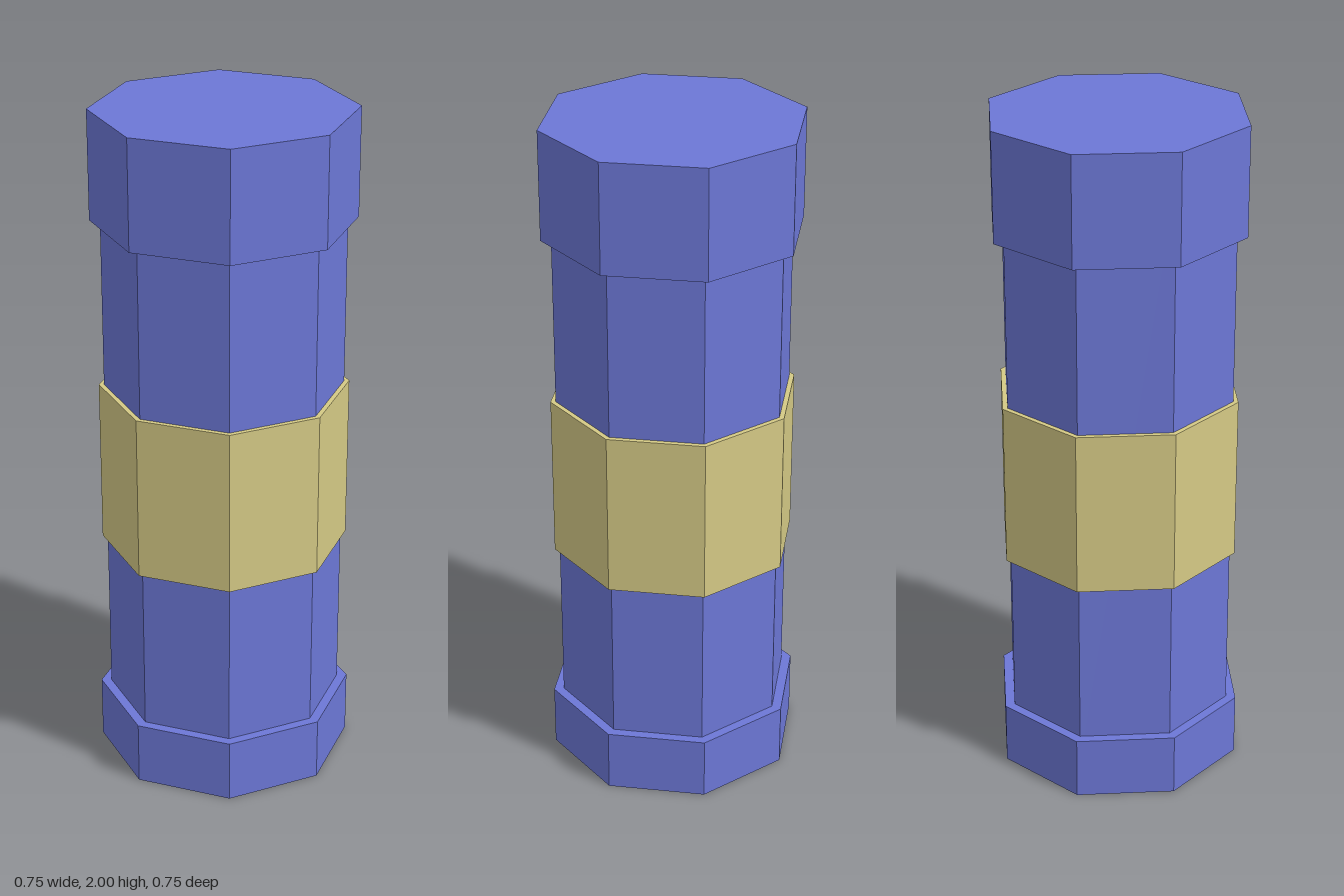
import * as THREE from 'three';

const SIDES = 8;

export function createModel() {
  const group = new THREE.Group();
  const blue = new THREE.MeshStandardMaterial({ color: 0x6c77d6, flatShading: true });
  const yellow = new THREE.MeshStandardMaterial({ color: 0xd4c985, flatShading: true });

  // Octagonal section spanning y0..y1, with corners on the x and z axes
  function section(name, radius, y0, y1, material) {
    const geometry = new THREE.CylinderGeometry(radius, radius, y1 - y0, SIDES);
    const mesh = new THREE.Mesh(geometry, material);
    mesh.name = name;
    mesh.position.y = (y0 + y1) / 2;
    group.add(mesh);
  }

  section('baseCap', 0.377, 0, 0.19, blue);
  section('body', 0.347, 0.1, 1.9, blue);
  section('labelBand', 0.362, 0.69, 1.18, yellow);
  section('topCap', 0.377, 1.68, 2, blue);

  return group;
}
